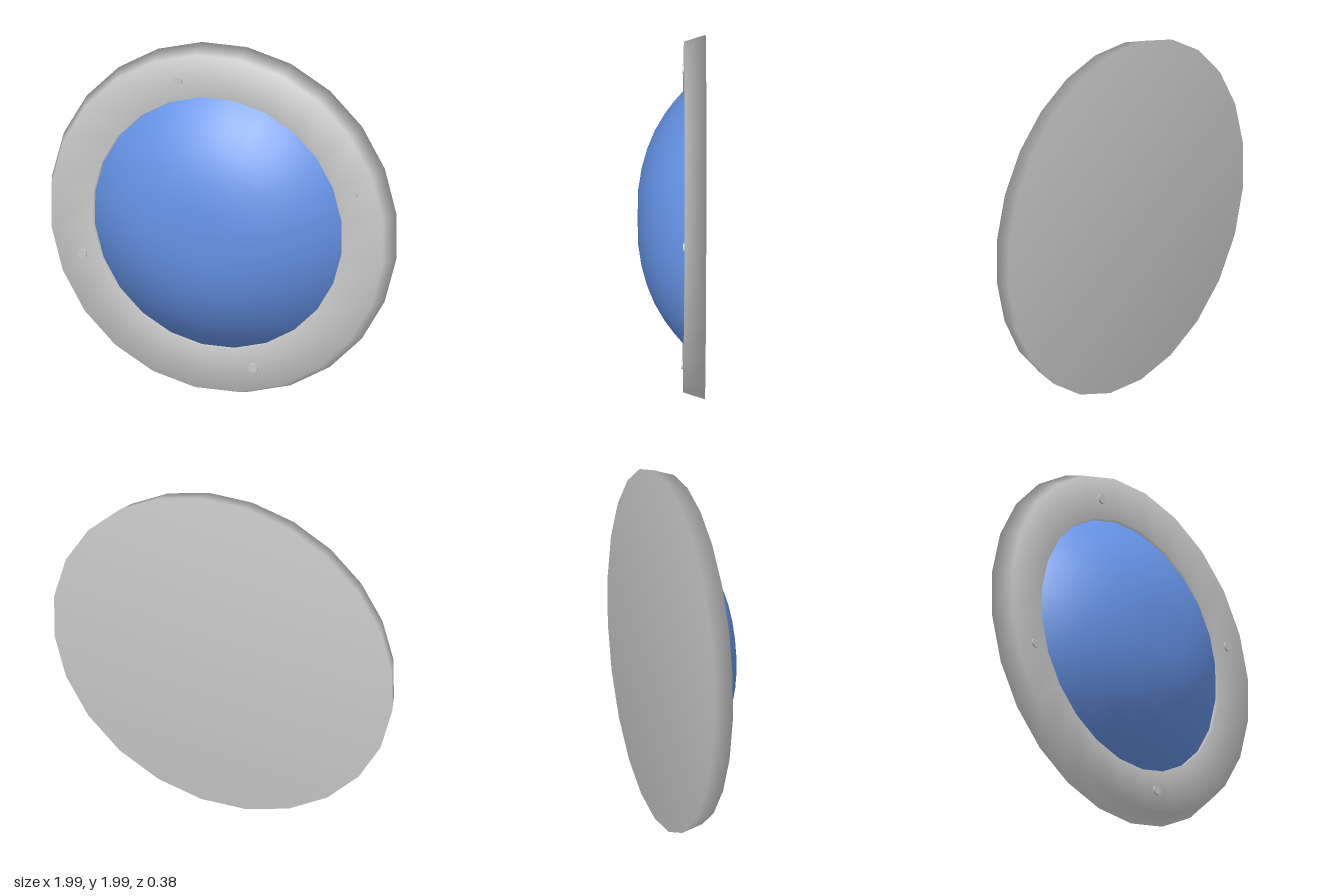
import * as THREE from 'three';

const SIDES = 24;

// Revolve an [radius, z] profile (back to front) around the z axis, flat side at the top
function turned(profile) {
  const points = profile.map(([r, z]) => new THREE.Vector2(r, z));
  return new THREE.LatheGeometry(points, SIDES, Math.PI / SIDES).rotateX(Math.PI / 2);
}

export function createModel() {
  const grey = new THREE.MeshStandardMaterial({ color: 0xcacaca });
  grey.name = 'light grey';
  const blue = new THREE.MeshStandardMaterial({ color: 0x6694e8 });
  blue.name = 'lens blue';

  const model = new THREE.Group();
  model.name = 'roundLamp';

  // The whole lamp leans very slightly
  const lamp = new THREE.Group();
  lamp.name = 'lamp';
  lamp.position.y = 1.003;
  lamp.rotation.set(-0.005, -0.004, 0);
  model.add(lamp);

  const add = (name, geometry, material) => {
    const mesh = new THREE.Mesh(geometry, material);
    mesh.name = name;
    lamp.add(mesh);
    return mesh;
  };

  // Bezel: closed flat back, tapered rim, flat front and a hole for the lens
  add('bezel', turned([
    [0, -0.182], [1.006, -0.182], [0.968, -0.064], [0.726, -0.064], [0.718, -0.1],
  ]), grey);

  // Shallow domed lens
  add('lens', turned([
    [0.724, -0.09], [0.695, -0.06], [0.64, -0.012], [0.57, 0.04], [0.48, 0.093],
    [0.38, 0.135], [0.27, 0.166], [0.15, 0.185], [0.001, 0.188],
  ]), blue);

  // Four small screw heads on the bezel
  for (const [x, y] of [[0.79, 0.26], [0.21, -0.81], [-0.78, -0.26], [-0.23, 0.8]]) {
    const screw = add('screw', new THREE.CylinderGeometry(0.026, 0.028, 0.03, 16).rotateX(Math.PI / 2), grey);
    screw.position.set(x, y, -0.07);
  }

  return model;
}
